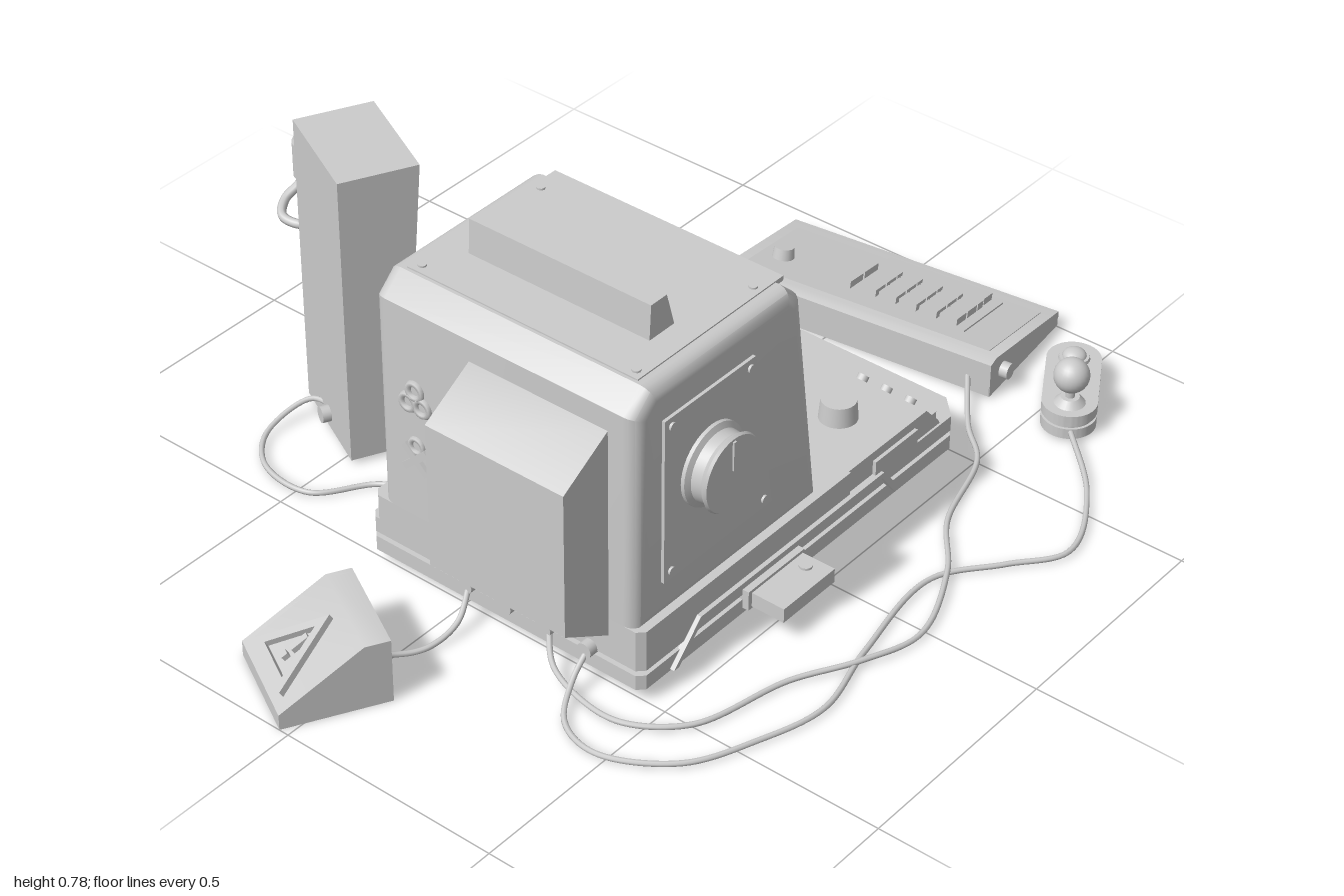
import * as THREE from 'three';
import { toCreasedNormals } from 'three/addons/utils/BufferGeometryUtils.js';

const mat = new THREE.MeshStandardMaterial({ color: 0xcccccc });

function add(parent, name, geo, x = 0, y = 0, z = 0) {
  const m = new THREE.Mesh(geo, mat);
  m.name = name;
  m.position.set(x, y, z);
  parent.add(m);
  return m;
}
function group(parent, name, x, y, z, ry = 0) {
  const g = new THREE.Group();
  g.name = name;
  g.position.set(x, y, z);
  g.rotation.y = ry;
  parent.add(g);
  return g;
}
// Box given by its limits on each axis
const box = (p, name, x0, x1, y0, y1, z0, z1) =>
  add(p, name, new THREE.BoxGeometry(x1 - x0, y1 - y0, z1 - z0), (x0 + x1) / 2, (y0 + y1) / 2, (z0 + z1) / 2);
const cyl = (p, name, r0, r1, h, x, y, z, n = 24) => add(p, name, new THREE.CylinderGeometry(r0, r1, h, n), x, y, z);
const poly = pts => new THREE.Shape(pts.map(q => new THREE.Vector2(q[0], q[1])));
// Outline in the x-y plane, extruded from z0 to z1
function prism(p, name, pts, z0, z1, bevel = 0) {
  const geo = new THREE.ExtrudeGeometry(poly(pts), {
    depth: z1 - z0 - 2 * bevel, bevelEnabled: bevel > 0, bevelSize: bevel, bevelThickness: bevel, bevelSegments: 4,
  });
  return add(p, name, toCreasedNormals(geo, 0.6), 0, 0, z0 + bevel);
}
// Horizontal slab with cut corners: c at the +x end, d at the -x end; a rim width makes it an open frame
function slab(p, name, x0, x1, z0, z1, y0, y1, c, d = 0.015, rim = 0) {
  const outline = i => poly([[x0 + d + i, -z1 + i], [x1 - c - i, -z1 + i], [x1 - i, -z1 + c + i], [x1 - i, -z0 - c - i],
    [x1 - c - i, -z0 - i], [x0 + d + i, -z0 - i], [x0 + i, -z0 - d - i], [x0 + i, -z1 + d + i]]);
  const shape = outline(0);
  if (rim) shape.holes.push(outline(rim));
  return add(p, name, new THREE.ExtrudeGeometry(shape, { depth: y1 - y0, bevelEnabled: false }).rotateX(-Math.PI / 2), 0, y0, 0);
}
function cable(p, name, pts, r = 0.006) {
  const curve = new THREE.CatmullRomCurve3(pts.map(q => new THREE.Vector3(...q)));
  return add(p, name, new THREE.TubeGeometry(curve, pts.length * 10, r, 8));
}

function buildBase(root) {
  const g = group(root, 'base', 0, 0, 0);
  slab(g, 'baseFoot', -0.49, 0.49, -0.21, 0.43, 0.022, 0.04, 0.04, 0.015, 0.03);
  slab(g, 'baseLowerTier', -0.515, 0.515, -0.235, 0.455, 0.036, 0.07, 0.045, 0.015, 0.055);
  slab(g, 'baseGroove', -0.5, 0.5, -0.22, 0.44, 0.07, 0.082, 0.045);
  slab(g, 'baseUpperTier', -0.515, 0.515, -0.235, 0.455, 0.082, 0.118, 0.045);
  slab(g, 'rearDeck', -0.515, 0.13, -0.225, 0.455, 0.118, 0.176, 0);
  slab(g, 'frontDeck', 0.1, 0.45, -0.225, 0.445, 0.118, 0.148, 0.02);
  // Control block with a sloping button face
  prism(g, 'controlBlock', [[0.08, 0.118], [0.437, 0.118], [0.43, 0.13], [0.388, 0.176], [0.08, 0.176]], 0.2, 0.45);
  const face = group(g, 'controlFace', 0.41, 0.153, 0);
  face.rotation.z = -0.83;
  for (const z of [0.27, 0.33, 0.39]) cyl(face, 'faceButton', 0.012, 0.012, 0.02, 0, 0.004, z, 16);
  box(face, 'faceLabelStrip', 0.016, 0.024, -0.004, 0.004, 0.23, 0.42);
  box(g, 'slotBlock', 0.13, 0.35, 0.14, 0.176, -0.228, -0.13);
  cyl(g, 'deckKnob', 0.037, 0.041, 0.045, 0.26, 0.198, 0.325, 28);
  for (const z of [-0.04, 0.04, 0.12]) {
    cyl(g, 'deckButtonRing', 0.024, 0.026, 0.012, 0.2, 0.152, z);
    cyl(g, 'deckButton', 0.016, 0.017, 0.034, 0.2, 0.163, z);
  }
  for (let i = 0; i < 4; i++) for (const x of [0.3, 0.318]) box(g, 'vent', x - 0.006, x + 0.006, 0.146, 0.153, -0.1 + i * 0.025, -0.085 + i * 0.025);
  box(g, 'frontSlot', 0.448, 0.455, 0.125, 0.142, -0.13, 0.0);
  // Raised rails, panel and disc tray on the long sides
  const rail = [[-0.43, 0.04], [-0.35, 0.122], [0.23, 0.122], [0.28, 0.06], [0.27, 0.05], [0.225, 0.11], [-0.345, 0.11], [-0.415, 0.04]];
  prism(g, 'sideRail', rail, 0.45, 0.465);
  prism(g, 'sideRail', rail, -0.245, -0.23);
  box(g, 'sidePanel', 0.21, 0.35, 0.115, 0.155, 0.44, 0.458);
  box(g, 'discTray', -0.21, -0.035, 0.05, 0.095, 0.4, 0.47);
  box(g, 'disc', -0.2, -0.04, 0.055, 0.088, 0.46, 0.548);
  cyl(g, 'discHub', 0.014, 0.014, 0.006, -0.07, 0.09, 0.5, 16);
  for (let i = 0; i < 4; i++) cyl(g, 'rearPort', 0.017, 0.017, 0.03, -0.52, 0.085, 0.03 + i * 0.1, 16).rotation.z = Math.PI / 2;
}

function buildMonitor(root) {
  const g = group(root, 'monitor', 0, 0, 0);
  prism(g, 'monitorBody', [[-0.485, 0.19], [0.017, 0.19], [-0.05, 0.66], [-0.07, 0.678], [-0.455, 0.678], [-0.485, 0.65]], -0.2, 0.44, 0.03);
  prism(g, 'tubeHousing', [[-0.64, 0.21], [-0.515, 0.135], [-0.5, 0.135], [-0.5, 0.615], [-0.515, 0.615], [-0.64, 0.54]], 0.04, 0.375);
  box(g, 'topPlate', -0.46, -0.035, 0.7, 0.711, -0.16, 0.4);
  for (const x of [-0.44, -0.1]) for (const z of [-0.14, 0.38]) cyl(g, 'topScrew', 0.009, 0.009, 0.006, x, 0.712, z, 10);
  prism(g, 'topHandle', [[-0.355, 0.7], [-0.28, 0.7], [-0.305, 0.787], [-0.35, 0.787]], -0.1, 0.34);

  // Sloping screen surround with the glass set slightly back
  const s = group(g, 'screenUnit', 0.007, 0.436, 0);
  s.rotation.z = 0.157;
  const frame = poly([[-0.376, -0.206], [0.136, -0.206], [0.136, 0.206], [-0.376, 0.206]]);
  frame.holes.push(poly([[-0.345, -0.122], [-0.345, 0.176], [0.113, 0.176], [0.113, -0.122]]));
  add(s, 'screenBezel', new THREE.ExtrudeGeometry(frame, { depth: 0.03, bevelEnabled: true, bevelSize: 0.003, bevelThickness: 0.003, bevelSegments: 1 }).rotateY(Math.PI / 2), -0.006);
  box(s, 'screenGlass', -0.01, 0.02, -0.128, 0.18, -0.12, 0.35);
  for (const z of [0.03, 0.205]) cyl(s, 'bezelKnob', 0.014, 0.014, 0.022, 0.034, -0.165, z, 16).rotation.z = Math.PI / 2;
  box(s, 'powerSwitch', 0.022, 0.033, -0.195, -0.155, -0.085, -0.035);

  // Side panel with a dial
  prism(g, 'sidePlate', [[-0.44, 0.25], [-0.115, 0.25], [-0.175, 0.626], [-0.44, 0.626]], 0.43, 0.447);
  for (const [x, y] of [[-0.42, 0.27], [-0.14, 0.27], [-0.19, 0.606], [-0.42, 0.606]]) cyl(g, 'sideScrew', 0.009, 0.009, 0.008, x, y, 0.448, 10).rotation.x = Math.PI / 2;
  const dial = [[0, 0], [0.088, 0], [0.088, 0.012], [0.076, 0.018], [0.074, 0.04], [0.083, 0.052], [0.08, 0.058], [0, 0.058]];
  const d = add(g, 'sideDial', toCreasedNormals(new THREE.LatheGeometry(dial.map(q => new THREE.Vector2(...q)), 40), 0.6), -0.305, 0.455, 0.443);
  d.rotation.x = Math.PI / 2;
  box(g, 'dialPointer', -0.309, -0.301, 0.465, 0.53, 0.495, 0.505);

  // Small relief badges on the far side and the back
  const badge = (x, y, z, ry, kind) => {
    const b = group(g, 'reliefBadge', x, y, z, ry);
    if (kind === 0) {
      add(b, 'padBody', new THREE.CapsuleGeometry(0.027, 0.045, 4, 12).rotateZ(Math.PI / 2).scale(1, 1, 0.3));
      for (const k of [-1, 1]) add(b, 'padGrip', new THREE.SphereGeometry(0.02, 12, 8).scale(1, 1.3, 0.4), k * 0.035, -0.022);
    } else if (kind === 1) {
      for (const k of [-1, 1]) box(b, 'crossBar', -0.04, 0.04, -0.008, 0.008, -0.008, 0.008).rotation.z = k * 0.75;
      add(b, 'crossRing', new THREE.TorusGeometry(0.016, 0.006, 6, 16), 0, 0.03);
    } else {
      for (const k of [-1, 1]) add(b, 'loop', new THREE.TorusGeometry(0.017, 0.007, 6, 18), k * 0.018, -0.012);
      add(b, 'loop', new THREE.TorusGeometry(0.017, 0.007, 6, 18), 0, 0.02);
    }
  };
  badge(-0.32, 0.51, -0.2, Math.PI, 0);
  badge(-0.12, 0.4, -0.2, Math.PI, 1);
  badge(-0.28, 0.34, -0.2, Math.PI, 2);
  badge(-0.516, 0.46, -0.1, -Math.PI / 2, 2);
  badge(-0.516, 0.32, -0.1, -Math.PI / 2, 1);
}

function buildTower(root) {
  const g = group(root, 'phoneTower', -0.185, 0, -0.549, -0.464);
  box(g, 'towerBody', -0.086, 0.055, 0.015, 0.69, -0.127, 0.127);
  prism(g, 'towerHood', [[0.05, 0.455], [0.07, 0.47], [0.086, 0.69], [0.05, 0.69]], -0.127, 0.127);
  const s = group(g, 'towerScreen', 0.077, 0.58, 0);
  s.rotation.z = -0.068;
  for (const k of [-1, 1]) {
    box(s, 'screenRim', -0.01, 0.006, k * 0.08 - 0.005, k * 0.08 + 0.005, -0.104, 0.104);
    box(s, 'screenRim', -0.01, 0.006, -0.08, 0.08, k * 0.098 - 0.005, k * 0.098 + 0.005);
  }
  box(g, 'keypadPlate', 0.05, 0.061, 0.3, 0.45, -0.105, 0.105);
  for (let r = 0; r < 4; r++) for (let c = 0; c < 4; c++) {
    const y = 0.322 + r * 0.035, z = -0.072 + c * 0.048;
    box(g, 'keypadKey', 0.058, 0.074, y - 0.014, y + 0.014, z - 0.019, z + 0.019);
  }
  box(g, 'lowerPanel', 0.05, 0.06, 0.06, 0.285, -0.105, 0.105);
  for (let i = 0; i < 7; i++) box(g, 'speakerBar', 0.058, 0.066, 0.09 + i * 0.024, 0.102 + i * 0.024, 0.0, 0.09);
  box(g, 'coinSlot', 0.058, 0.075, 0.09, 0.26, -0.085, -0.04);
  // Hook box with a curled lead and hanging plug
  box(g, 'hookBox', -0.055, 0.0, 0.345, 0.44, -0.175, -0.12);
  cable(g, 'hookLead', [[-0.03, 0.4, -0.17], [-0.07, 0.4, -0.185], [-0.09, 0.405, -0.22], [-0.07, 0.42, -0.255], [-0.035, 0.445, -0.262], [-0.025, 0.47, -0.262]], 0.01);
  const plug = group(g, 'hangingPlug', -0.022, 0.505, -0.262, 0.9);
  const flat = (name, r0, r1, h, y) => add(plug, name, new THREE.CylinderGeometry(r0, r1, h, 20).scale(1.2, 1, 0.75), 0, y, 0);
  flat('plugBody', 0.03, 0.03, 0.08, 0.005);
  flat('plugCollar', 0.026, 0.016, 0.02, -0.045);
  cyl(g, 'cableSocket', 0.018, 0.018, 0.03, -0.09, 0.05, 0.0, 16).rotation.z = Math.PI / 2;
}

function buildMug(root) {
  const g = group(root, 'mugAndSaucer', 0.367, 0, -0.532, 0.98);
  const lathe = (name, pts) => add(g, name, toCreasedNormals(new THREE.LatheGeometry(pts.map(q => new THREE.Vector2(...q)), 40), 0.6));
  lathe('saucer', [[0, 0.015], [0.088, 0.015], [0.09, 0.005], [0.104, 0.005], [0.152, 0.016], [0.152, 0.024], [0.12, 0.022], [0, 0.02]]);
  lathe('mug', [[0, 0.022], [0.1, 0.022], [0.112, 0.04], [0.112, 0.222], [0.108, 0.226], [0.1, 0.222], [0.1, 0.06], [0, 0.06]]);
  cyl(g, 'drink', 0.101, 0.101, 0.01, 0, 0.195, 0, 40);
  cable(g, 'mugHandle', [[0.1, 0.185, 0], [0.145, 0.185, 0], [0.168, 0.16, 0], [0.168, 0.09, 0], [0.145, 0.062, 0], [0.1, 0.062, 0]], 0.016);
}

function buildWedge(root) {
  const g = group(root, 'warningWedge', -0.845, 0, -0.07, -0.5);
  // Hollow shell, open underneath, closed by two end plates
  const outer = [[-0.113, 0.005], [-0.113, 0.04], [0.06, 0.152], [0.113, 0.152], [0.113, 0.005]];
  const inner = [[0.101, 0.005], [0.101, 0.14], [0.064, 0.14], [-0.101, 0.033], [-0.101, 0.005]];
  prism(g, 'wedgeShell', [...outer, ...inner], -0.115, 0.115);
  prism(g, 'wedgeEnd', outer, -0.116, -0.104);
  prism(g, 'wedgeEnd', outer, 0.104, 0.116);
  // Raised triangle on the slope
  const s = group(g, 'warningSign', -0.03, 0.096, 0);
  s.rotation.z = Math.atan2(0.112, 0.173);
  const tri = poly([[-0.085, -0.075], [0.085, -0.075], [0, 0.08]]);
  tri.holes.push(poly([[-0.055, -0.057], [0, 0.045], [0.055, -0.057]]));
  const t = add(s, 'triangleFrame', new THREE.ExtrudeGeometry(tri, { depth: 0.014, bevelEnabled: false }));
  t.rotation.set(-Math.PI / 2, 0, -Math.PI / 2);
  box(s, 'signBar', -0.018, 0.022, -0.002, 0.01, -0.007, 0.007);
  box(s, 'signDot', -0.042, -0.028, -0.002, 0.01, -0.007, 0.007);
}

function buildKeyboard(root) {
  const g = group(root, 'keyboard', 0.807, 0, 0.054, 0.123);
  prism(g, 'keyboardBody', [[-0.154, 0.03], [0.154, 0.028], [0.154, 0.045], [-0.13, 0.096], [-0.154, 0.09]], -0.326, 0.326);
  slab(g, 'keyboardUnderRim', -0.154, 0.154, -0.326, 0.326, 0.01, 0.03, 0.002, 0.002, 0.028);
  const top = group(g, 'keyboardTop', 0, 0.0705, 0);
  top.rotation.z = -0.178;
  box(top, 'keyboardPlate', -0.115, 0.12, -0.005, 0.004, -0.3, 0.3);
  box(top, 'keyWell', -0.08, 0.1, 0, 0.008, -0.18, 0.22);
  const key = (u, v, w, l) => box(top, 'key', u - w / 2, u + w / 2, 0.004, 0.024, v - l / 2, v + l / 2);
  for (const u of [-0.05, -0.002]) for (let i = 0; i < 5; i++) key(u, -0.02 + i * 0.049, 0.042, 0.042);
  key(-0.045, -0.115, 0.056, 0.11);
  key(0.02, -0.115, 0.06, 0.11);
  for (let i = 0; i < 5; i++) key(0.036, -0.02 + i * 0.049, 0.024, 0.042);
  key(0.075, 0.07, 0.038, 0.25);
  cyl(top, 'keyboardKnob', 0.022, 0.025, 0.03, -0.03, 0.014, -0.25, 20);
  cyl(g, 'cableSocket', 0.018, 0.018, 0.03, -0.1, 0.05, 0.33, 16).rotation.x = Math.PI / 2;
}

function buildJoystick(root) {
  const g = group(root, 'joystickPad', 0.79, 0, 0.535, 0.54);
  const capsule = r => {
    const s = new THREE.Shape();
    s.absarc(0.075, 0, r, -Math.PI / 2, Math.PI / 2);
    s.absarc(-0.075, 0, r, Math.PI / 2, Math.PI * 1.5);
    return s;
  };
  const tier = (name, r, y0, y1, hole = 0) => {
    const s = capsule(r);
    if (hole) s.holes.push(capsule(hole));
    const geo = new THREE.ExtrudeGeometry(s, { depth: y1 - y0, bevelEnabled: false, curveSegments: 16 }).rotateX(-Math.PI / 2);
    add(g, name, toCreasedNormals(geo, 0.6), 0, y0, 0);
  };
  tier('padFoot', 0.058, 0.012, 0.036, 0.046);
  tier('padGroove', 0.052, 0.03, 0.044);
  tier('padTop', 0.058, 0.044, 0.068);
  for (const x of [0, 0.075]) {
    cyl(g, 'padButtonRing', 0.032, 0.034, 0.008, x, 0.071, 0);
    add(g, 'padButton', new THREE.SphereGeometry(0.026, 20, 10, 0, Math.PI * 2, 0, Math.PI / 2).scale(1, 0.7, 1), x, 0.073, 0);
  }
  cyl(g, 'stickCollar', 0.02, 0.034, 0.016, -0.08, 0.075, 0);
  cyl(g, 'stick', 0.01, 0.01, 0.06, -0.08, 0.1, 0, 12);
  add(g, 'stickBall', new THREE.SphereGeometry(0.038, 24, 16), -0.08, 0.136, 0);
}

export function createModel() {
  const root = new THREE.Group();
  root.name = 'desktopComputerSet';
  [buildBase, buildMonitor, buildTower, buildMug, buildWedge, buildKeyboard, buildJoystick].forEach(f => f(root));
  // Leads lying on the ground
  cable(root, 'joystickLead', [[-0.52, 0.085, 0.33], [-0.575, 0.04, 0.335], [-0.65, 0.014, 0.38], [-0.68, 0.014, 0.48], [-0.6, 0.014, 0.62], [-0.46, 0.014, 0.69],
    [-0.31, 0.014, 0.73], [-0.13, 0.014, 0.69], [0.13, 0.014, 0.658], [0.26, 0.014, 0.745], [0.37, 0.014, 0.818], [0.55, 0.014, 0.74], [0.7, 0.03, 0.59]]);
  cable(root, 'keyboardLead', [[-0.52, 0.085, 0.23], [-0.565, 0.04, 0.28], [-0.585, 0.014, 0.38], [-0.58, 0.014, 0.47], [-0.5, 0.014, 0.57], [-0.29, 0.014, 0.63],
    [-0.16, 0.02, 0.705], [-0.02, 0.014, 0.742], [0.16, 0.02, 0.675], [0.3, 0.014, 0.575], [0.5, 0.014, 0.505], [0.58, 0.015, 0.425], [0.7, 0.045, 0.335]]);
  cable(root, 'towerLead', [[-0.31, 0.07, -0.22], [-0.31, 0.03, -0.28], [-0.34, 0.014, -0.38], [-0.45, 0.014, -0.47], [-0.44, 0.014, -0.6], [-0.36, 0.02, -0.67], [-0.25, 0.05, -0.65], [-0.24, 0.05, -0.58]]);
  cable(root, 'wedgeLead', [[-0.76, 0.045, -0.02], [-0.71, 0.018, 0.01], [-0.65, 0.014, 0.04], [-0.58, 0.035, 0.05], [-0.52, 0.085, 0.03]]);
  return root;
}
